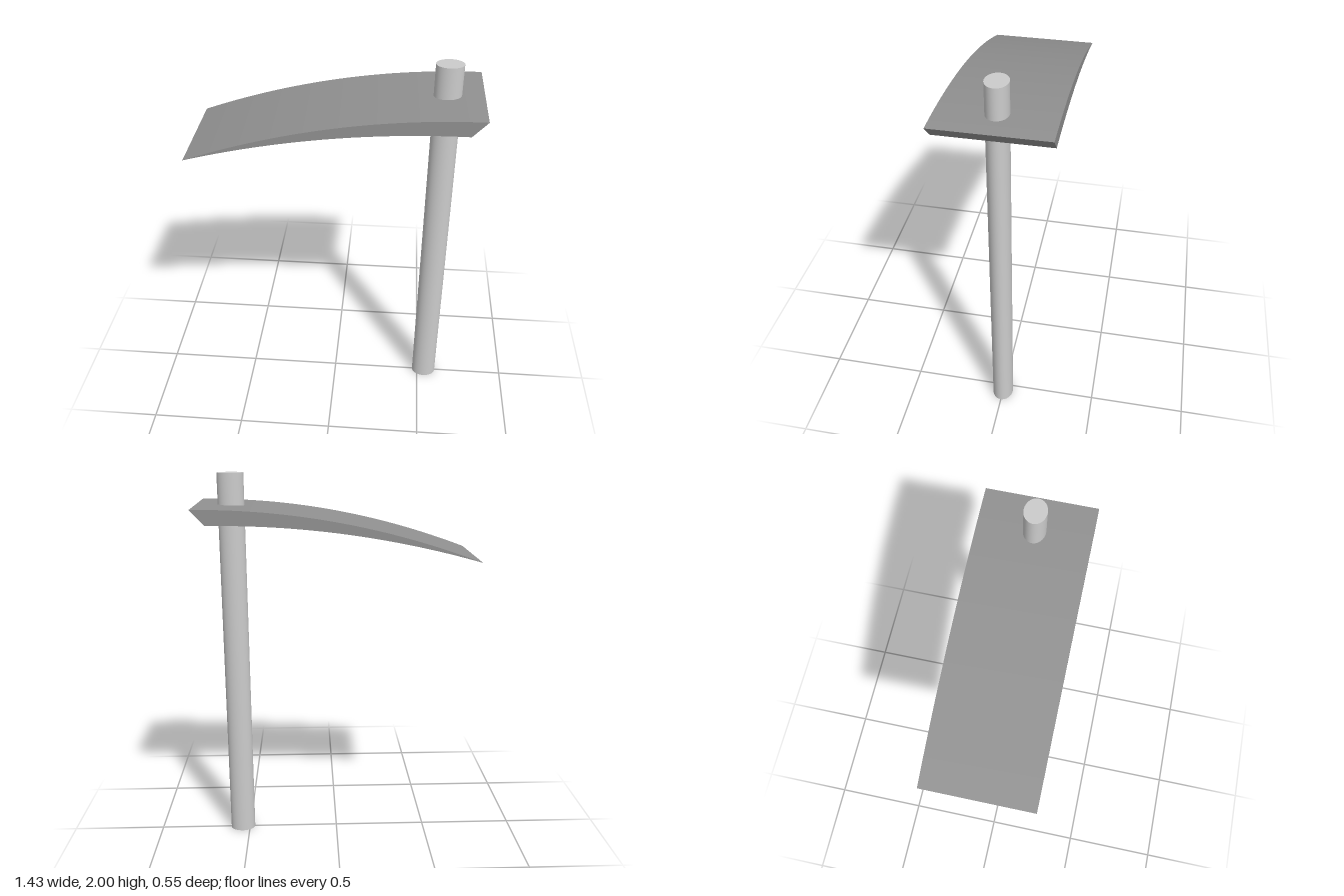
import * as THREE from 'three';
import { toCreasedNormals } from 'three/addons/utils/BufferGeometryUtils.js';

export function createModel() {
  const group = new THREE.Group();

  // Pole: upright cylinder with an oval section
  const pole = new THREE.Mesh(
    new THREE.CylinderGeometry(1, 1, 2, 48),
    new THREE.MeshStandardMaterial({ color: 0xcccccc })
  );
  pole.name = 'pole';
  pole.scale.set(0.068, 1, 0.055);
  pole.position.set(0.539, 1, 0);
  group.add(pole);

  // Canopy: curved wedge, thick and slanted at the pole end, tapering to a thin edge
  const profile = new THREE.Shape();
  profile.moveTo(-0.718, 1.578);
  profile.quadraticCurveTo(-0.037, 1.773, 0.645, 1.766);
  profile.lineTo(0.717, 1.843);
  profile.quadraticCurveTo(-0.002, 1.848, -0.718, 1.578);
  const depth = 0.55;
  const slab = new THREE.ExtrudeGeometry(profile, { depth, bevelEnabled: false, curveSegments: 32 });
  slab.translate(0, 0, -depth / 2);
  const canopy = new THREE.Mesh(
    toCreasedNormals(slab, 0.15),
    new THREE.MeshStandardMaterial({ color: 0x919191 })
  );
  canopy.name = 'canopy';
  group.add(canopy);

  return group;
}
